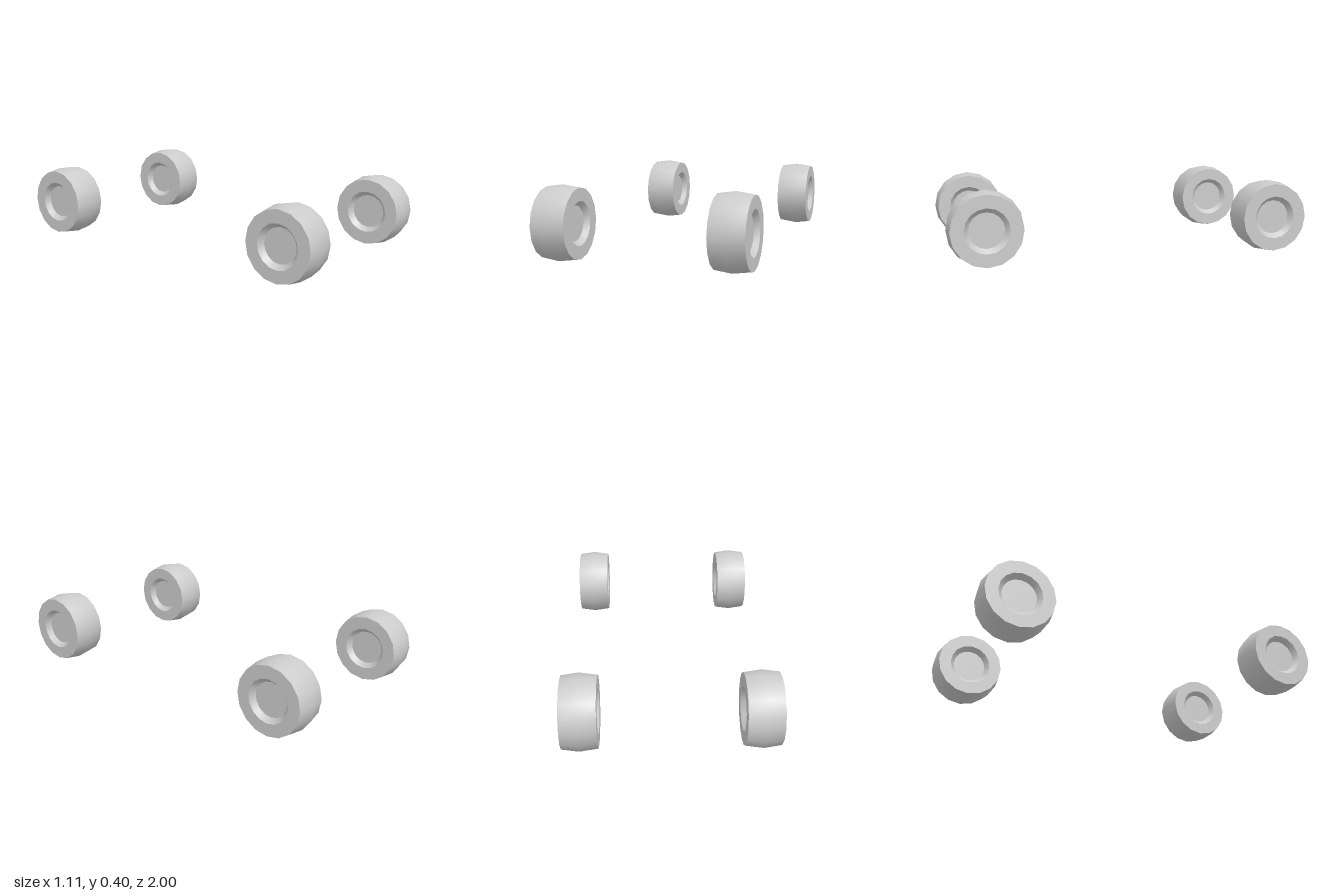
import * as THREE from 'three';
import { toCreasedNormals } from 'three/addons/utils/BufferGeometryUtils.js';

const RADIUS = 0.201, EDGE = 0.188, HALF_WIDTH = 0.0925;
const RIM = 0.118, HUB = 0.094, DEPTH = 0.028, SIDES = 16;

// Wheel turned around its axle: crowned tread, flat sidewalls, dished hub on both sides
function wheelGeometry() {
  const side = [[0, HALF_WIDTH - DEPTH], [HUB, HALF_WIDTH - DEPTH], [RIM, HALF_WIDTH], [EDGE, HALF_WIDTH]];
  const profile = [
    ...side.map(([r, a]) => new THREE.Vector2(r, -a)),
    new THREE.Vector2(RADIUS, 0),
    ...side.map(([r, a]) => new THREE.Vector2(r, a)).reverse(),
  ];
  const geometry = new THREE.LatheGeometry(profile, SIDES).rotateZ(Math.PI / 2);
  return toCreasedNormals(geometry, 0.55);
}

export function createModel() {
  const model = new THREE.Group();
  model.name = 'wheelSet';
  const material = new THREE.MeshStandardMaterial({ color: 0xcccccc });
  const geometry = wheelGeometry();

  // Four identical wheels, front and back, left and right
  for (const [end, z] of [['front', 0.799], ['back', -0.799]]) {
    for (const [hand, x] of [['Left', 0.461], ['Right', -0.461]]) {
      const wheel = new THREE.Mesh(geometry, material);
      wheel.name = `${end}${hand}Wheel`;
      wheel.position.set(x, 0.203, z);
      model.add(wheel);
    }
  }
  return model;
}
